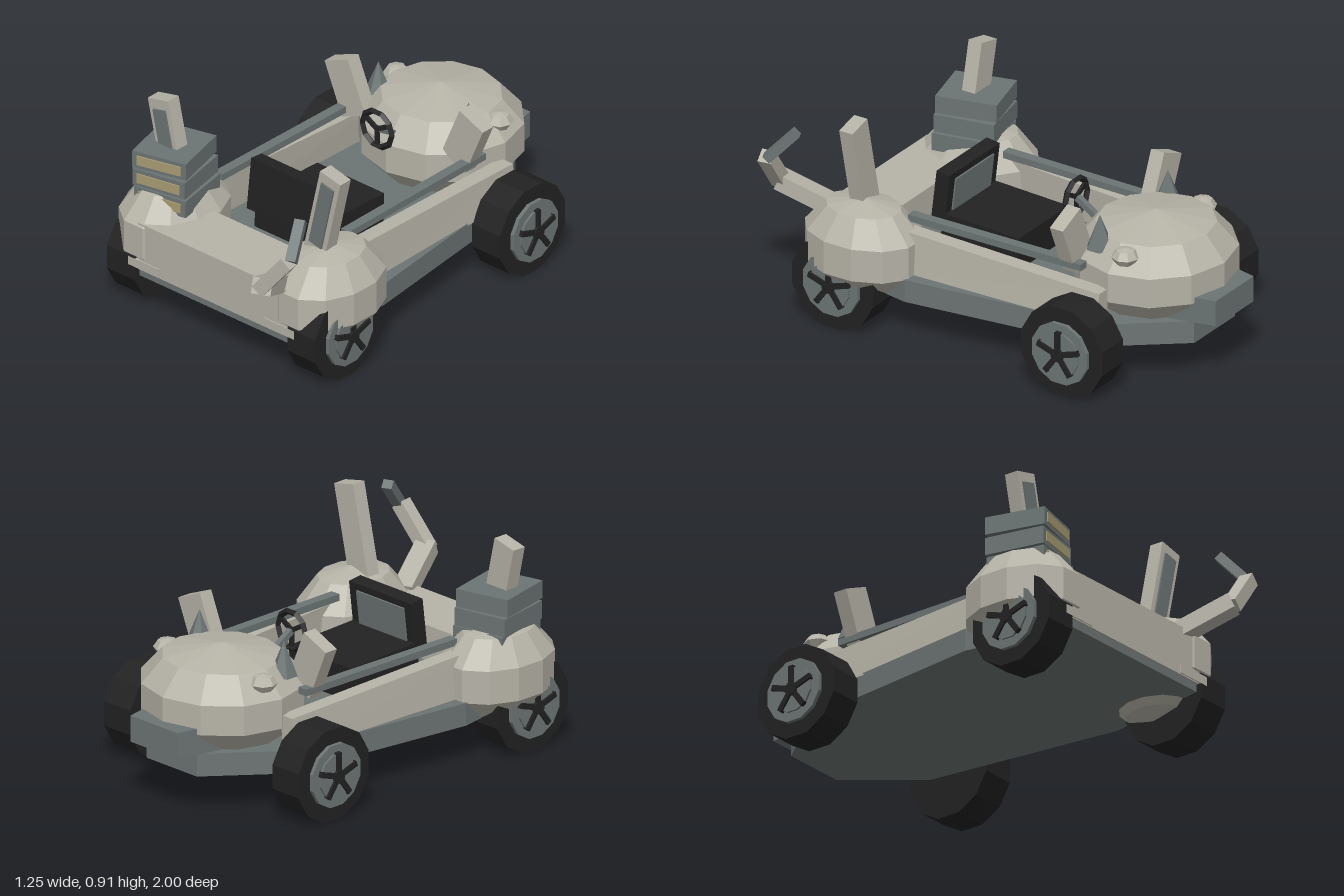
import * as THREE from 'three';

const material = (name, color) => {
  const m = new THREE.MeshStandardMaterial({ color });
  m.name = name;
  return m;
};

export function createModel() {
  const model = new THREE.Group();
  model.name = 'buggy';
  const shell = material('pale shell', 0xb6b3a7);
  const steel = material('blue grey steel', 0x6c7574);
  const rubber = material('black rubber', 0x222222);
  const lens = material('tan lens', 0xa89c72);

  // Adds a faceted mesh
  const add = (name, geometry, mat, x = 0, y = 0, z = 0, parent = model) => {
    const g = geometry.index ? geometry.toNonIndexed() : geometry;
    g.computeVertexNormals();
    const mesh = new THREE.Mesh(g, mat);
    mesh.name = name;
    mesh.position.set(x, y, z);
    parent.add(mesh);
    return mesh;
  };
  const box = (name, mat, w, h, d, x, y, z, parent) =>
    add(name, new THREE.BoxGeometry(w, h, d), mat, x, y, z, parent);

  // Square bar from a to b
  const beam = (name, mat, a, b, w, h) => {
    const p = new THREE.Vector3(...a), q = new THREE.Vector3(...b);
    const mid = p.clone().add(q).multiplyScalar(0.5);
    const mesh = box(name, mat, w, h, p.distanceTo(q), mid.x, mid.y, mid.z);
    mesh.lookAt(q);
    return mesh;
  };

  // Horizontal slab from half of a symmetric outline of [x, z] points
  const slab = (name, mat, half, bottom, top) => {
    const outline = [...half, ...half.map(([x, z]) => [-x, z]).reverse()];
    const shape = new THREE.Shape(outline.map(([x, z]) => new THREE.Vector2(x, z)));
    const g = new THREE.ExtrudeGeometry(shape, { depth: top - bottom, bevelEnabled: false });
    g.rotateX(Math.PI / 2);
    return add(name, g, mat, 0, top, 0);
  };

  // Faceted dome from [radius, height] points
  const dome = (name, mat, profile, sides, turn, x, y, z) => {
    const g = new THREE.LatheGeometry(profile.map(p => new THREE.Vector2(...p)), sides);
    g.rotateY(turn);
    return add(name, g, mat, x, y, z);
  };

  // Chassis, nose and rear deck
  slab('floor', steel, [[0.41, 0.79], [0.5, 0.3], [0.39, -0.6], [0.15, -0.9]], 0.17, 0.27);
  slab('noseBumper', steel, [[0.2, -0.72], [0.14, -1.0]], 0.27, 0.385)
    .geometry.translate(0, 0, 0);
  box('rearDeck', shell, 0.82, 0.22, 0.28, 0, 0.315, 0.66);
  dome('noseDome', shell,
    [[0, 0.25], [0.25, 0.26], [0.34, 0.36], [0.34, 0.49], [0.25, 0.595], [0, 0.645]],
    12, 0, 0, 0, -0.61).scale.x = 1.04;

  // Seat
  box('seatBase', rubber, 0.37, 0.15, 0.38, 0, 0.36, 0.14).rotation.x = -0.04;
  const back = new THREE.Group();
  back.name = 'seatBack';
  back.position.set(0, 0.51, 0.335);
  back.rotation.x = -0.12;
  model.add(back);
  box('backrest', rubber, 0.37, 0.23, 0.065, 0, 0, 0, back);
  box('backrestPad', steel, 0.28, 0.15, 0.008, 0, 0.01, -0.036, back);

  // Steering wheel
  add('steeringRing', new THREE.TorusGeometry(0.082, 0.014, 4, 10), rubber, 0, 0.59, -0.215);
  for (let i = 0; i < 3; i++) {
    const a = Math.PI / 2 + i * Math.PI * 2 / 3;
    box('steeringSpoke', rubber, 0.08, 0.02, 0.012,
      -Math.cos(a) * 0.04, 0.59 - Math.sin(a) * 0.04, -0.215).rotation.z = a;
  }
  beam('steeringColumn', steel, [0, 0.59, -0.22], [0, 0.5, -0.36], 0.025, 0.025);

  // Wheel with rim and five-spoke cap
  const wheel = (name, s, z) => {
    const g = new THREE.Group();
    g.name = name;
    g.position.set(s * 0.5, 0.2, z);
    g.rotation.y = s * Math.PI / 2;
    model.add(g);
    const disc = (part, mat, r, depth, at, sides) => {
      const c = new THREE.CylinderGeometry(r, r, depth, sides);
      c.rotateY(Math.PI / sides).rotateX(Math.PI / 2);
      add(part, c, mat, 0, 0, at, g);
    };
    disc('tyre', rubber, 0.207, 0.155, 0, 12);
    disc('rim', steel, 0.14, 0.03, 0.08, 12);
    disc('rimCentre', steel, 0.1, 0.012, 0.098, 12);
    disc('hub', rubber, 0.03, 0.025, 0.105, 8);
    for (let i = 0; i < 5; i++) {
      const a = Math.PI / 2 + i * Math.PI * 2 / 5;
      box('spoke', rubber, 0.1, 0.024, 0.02,
        Math.cos(a) * 0.055, Math.sin(a) * 0.055, 0.104, g).rotation.z = a;
    }
  };

  for (const s of [1, -1]) {
    const side = s > 0 ? 'left' : 'right';
    wheel(side + 'NoseWheel', s, -0.53);
    wheel(side + 'RearWheel', s, 0.605);

    // Rear fender and the small step below it
    dome(side + 'Fender', shell,
      [[0, 0.11], [0.13, 0.14], [0.265, 0.265], [0.265, 0.41], [0.17, 0.52], [0, 0.555]],
      12, Math.PI / 12, s * 0.43, 0, 0.55).scale.x = 0.76;
    box(side + 'Step', shell, 0.17, 0.04, 0.06, s * 0.375, 0.23, 0.775);

    // Side panel tapering towards the nose, with a rail above
    const panel = new THREE.BoxGeometry(0.07, 1, 1.0);
    const p = panel.attributes.position;
    for (let i = 0; i < p.count; i++) {
      const rear = p.getZ(i) > 0, top = p.getY(i) > 0;
      p.setY(i, top ? (rear ? 0.455 : 0.415) : 0.26);
      p.setX(i, p.getX(i) + s * (rear ? 0.395 : 0.37) + (top ? 0 : s * 0.015));
    }
    add(side + 'SidePanel', panel, shell, 0, 0, -0.1);
    beam(side + 'Rail', steel, [s * 0.34, 0.485, -0.48], [s * 0.35, 0.485, 0.37], 0.045, 0.03);

    // Tilted fin, spike and knob on the nose
    box(side + 'NoseFin', shell, 0.14, 0.25, 0.065, s * 0.325, 0.585, -0.41).rotation.z = -s * 0.4;
    add(side + 'Spike', new THREE.ConeGeometry(0.06, 0.15, 6), steel, s * 0.25, 0.615, -0.5);
    dome(side + 'Knob', shell,
      [[0, -0.04], [0.04, -0.03], [0.06, 0], [0.04, 0.03], [0, 0.04]], 8, 0, s * 0.285, 0.555, -0.65);

    // Leaning rear post with an inset plate
    const post = new THREE.Group();
    post.name = side + 'Post';
    post.position.set(s * 0.429, 0.69, 0.57);
    post.rotation.z = -s * 0.225;
    model.add(post);
    box('postBeam', shell, 0.115, 0.43, 0.065, 0, 0, 0, post);
    box('postInset', steel, 0.07, 0.31, 0.009, 0, 0.015, 0.036, post);
  }

  // Stack of lamp boxes on the right fender
  [[0.49, 0.18, -0.405], [0.573, 0.2, -0.415], [0.66, 0.25, -0.42]].forEach(([y, turn, x]) => {
    const lamp = new THREE.Group();
    lamp.name = 'lampBox';
    lamp.position.set(x, y, 0.565);
    lamp.rotation.y = turn;
    model.add(lamp);
    box('lampCase', steel, 0.25, 0.078, 0.27, 0, 0, 0, lamp);
    box('lampLens', lens, 0.205, 0.043, 0.008, 0, 0, 0.137, lamp);
  });

  // Jointed arm behind the left fender
  beam('armLower', shell, [0.33, 0.41, 0.74], [0.43, 0.525, 0.97], 0.085, 0.07);
  beam('armMiddle', shell, [0.42, 0.51, 0.967], [0.56, 0.685, 0.945], 0.06, 0.06);
  beam('armTip', steel, [0.565, 0.68, 0.94], [0.515, 0.81, 0.825], 0.045, 0.04);

  return model;
}
